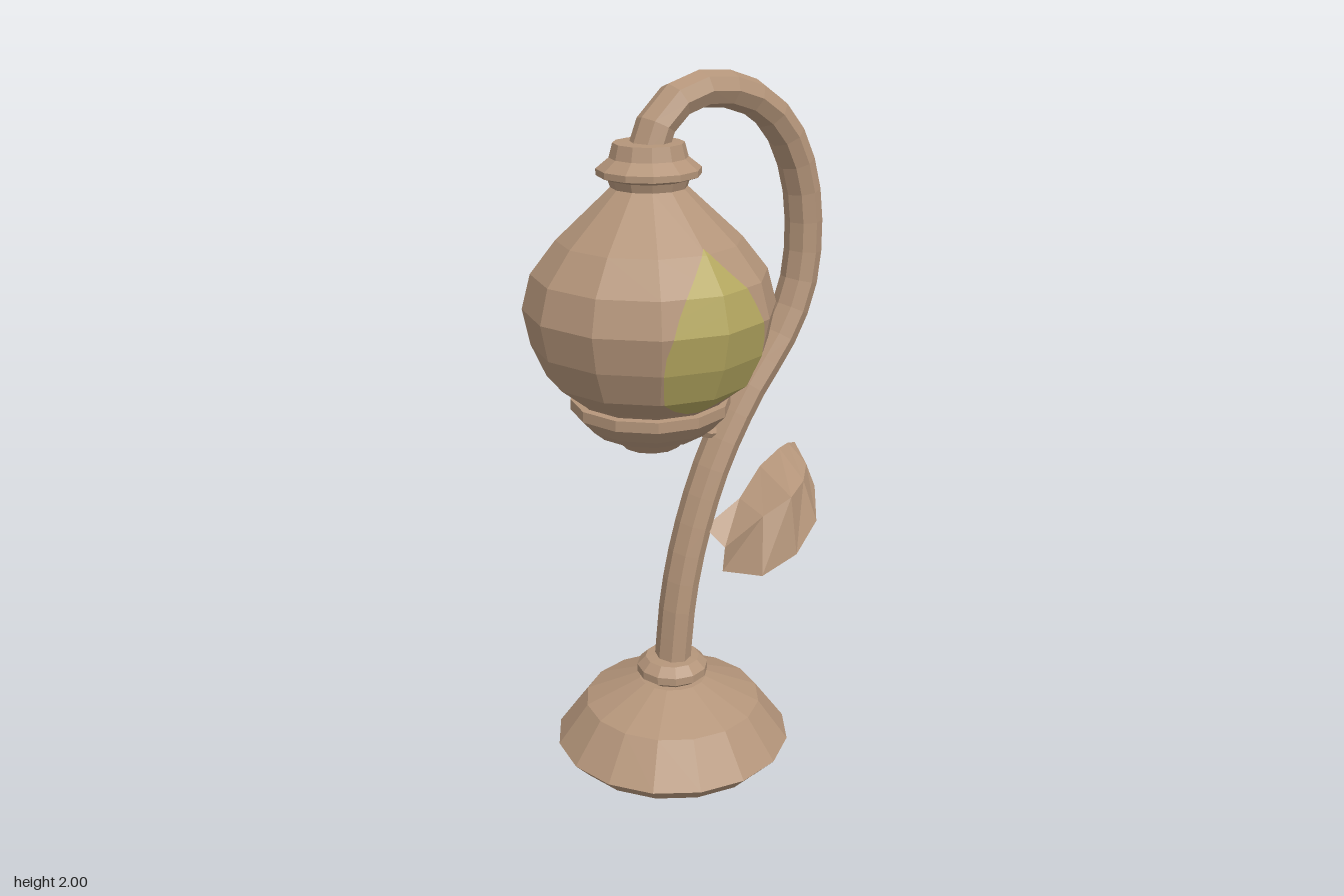
import * as THREE from 'three';

const SHADE_X = -0.125, BASE_X = -0.055, SHADE_SIDES = 12;

// Shade outline as [radius, height], bottom to top
const shadeProfile = [
  [0.18, 1.11], [0.21, 1.14], [0.285, 1.2], [0.325, 1.29], [0.345, 1.39],
  [0.32, 1.485], [0.25, 1.575], [0.1, 1.715],
];

function shadeRadius(y) {
  for (let i = 1; i < shadeProfile.length; i++) {
    const [r0, y0] = shadeProfile[i - 1], [r1, y1] = shadeProfile[i];
    if (y <= y1) return r0 + (r1 - r0) * (y - y0) / (y1 - y0);
  }
  return shadeProfile[shadeProfile.length - 1][0];
}

// Surface through rows of points, each row the same length
function loft(rows) {
  const n = rows[0].length, index = [];
  for (let i = 0; i < rows.length - 1; i++) {
    for (let j = 0; j < n - 1; j++) {
      const a = i * n + j, b = a + n;
      index.push(a, b, a + 1, a + 1, b, b + 1);
    }
  }
  const g = new THREE.BufferGeometry();
  g.setAttribute('position', new THREE.Float32BufferAttribute(rows.flat(2), 3));
  g.setIndex(index);
  g.computeVertexNormals();
  return g;
}

export function createModel() {
  const group = new THREE.Group();
  const bronze = new THREE.MeshStandardMaterial({ color: 0xb4957a, flatShading: true, side: THREE.DoubleSide });
  bronze.name = 'bronze';
  const amber = new THREE.MeshStandardMaterial({ color: 0xb5a860, flatShading: true, side: THREE.DoubleSide });
  amber.name = 'amberGlass';

  const add = (name, geometry, material = bronze, x = 0) => {
    const m = new THREE.Mesh(geometry, material);
    m.name = name;
    m.position.x = x;
    group.add(m);
    return m;
  };
  const turned = (name, profile, sides, x) =>
    add(name, new THREE.LatheGeometry(profile.map(([r, y]) => new THREE.Vector2(r, y)), sides), bronze, x);
  const tube = (name, points, segments, radius, sides) => {
    const curve = new THREE.CatmullRomCurve3(points.map(([x, y]) => new THREE.Vector3(x, y, 0)));
    return add(name, new THREE.TubeGeometry(curve, segments, radius, sides, false));
  };

  // Foot and its collar
  turned('base', [[0, 0], [0.305, 0], [0.348, 0.045], [0.26, 0.165], [0.1, 0.235], [0, 0.24]], 16, BASE_X);
  turned('baseCollar', [[0.075, 0.23], [0.105, 0.252], [0.105, 0.275], [0.08, 0.3], [0, 0.305]], 12, BASE_X);

  // Curved stem and the small hook under the shade
  const stem = tube('stem', [
    [-0.055, 0.28], [-0.03, 0.5], [0.02, 0.7], [0.1, 0.9], [0.21, 1.08], [0.33, 1.23], [0.395, 1.36],
    [0.415, 1.51], [0.395, 1.68], [0.33, 1.82], [0.22, 1.915], [0.05, 1.952], [-0.08, 1.9], [-0.135, 1.79],
  ], 26, 0.05, 8);
  stem.scale.z = 1.18;
  tube('hook', [[-0.02, 1.06], [0.01, 1.015], [0.06, 0.985], [0.1, 0.975], [0.16, 0.99]], 7, 0.018, 6);

  // Globe shade with its cap, lower ring and finial
  turned('shade', shadeProfile, SHADE_SIDES, SHADE_X);
  turned('shadeCap', [
    [0.1, 1.705], [0.11, 1.735], [0.14, 1.745], [0.14, 1.762], [0.105, 1.79], [0.095, 1.828], [0, 1.83],
  ], SHADE_SIDES, SHADE_X);
  turned('shadeRing', [
    [0, 1.03], [0.155, 1.035], [0.185, 1.06], [0.222, 1.1], [0.222, 1.13], [0.18, 1.135],
  ], SHADE_SIDES, SHADE_X);
  turned('finial', [[0, 0.985], [0.08, 0.99], [0.11, 1.02], [0.12, 1.04]], SHADE_SIDES, SHADE_X);

  // Teardrop panes laid on the shade facets: [height, half angle in degrees]
  const paneRows = [
    [1.145, 9], [1.165, 20], [1.2, 28], [1.29, 29], [1.34, 28], [1.39, 25], [1.44, 22], [1.485, 18],
    [1.53, 11], [1.575, 3], [1.59, 0],
  ].map(([y, deg]) => [1, 0, -1].map((s) => {
    const a = s * deg * Math.PI / 180, half = Math.PI / SHADE_SIDES;
    const r = shadeRadius(y) * Math.cos(half) / Math.cos(Math.abs(a) - half) + 0.004;
    return [r * Math.sin(a), y, r * Math.cos(a)];
  }));
  const pane = loft(paneRows);
  add('frontPane', pane, amber, SHADE_X);
  add('backPane', pane, amber, SHADE_X).rotation.y = Math.PI;

  // Arched leaf: back edge, midrib, front edge from stem to tip
  add('leaf', loft([
    [[0.04, 0.70, 0.03], [0.07, 0.65, 0.09], [0.07, 0.57, 0.08]],
    [[0.17, 0.76, 0.03], [0.17, 0.74, 0.14], [0.13, 0.58, 0.19]],
    [[0.27, 0.83, 0.0], [0.25, 0.79, 0.17], [0.25, 0.62, 0.2]],
    [[0.36, 0.86, -0.02], [0.33, 0.81, 0.13], [0.35, 0.69, 0.17]],
    [[0.42, 0.855, -0.05], [0.40, 0.825, 0.06], [0.41, 0.76, 0.09]],
    [[0.465, 0.84, -0.07], [0.465, 0.835, -0.065], [0.465, 0.82, -0.06]],
  ]));

  return group;
}
